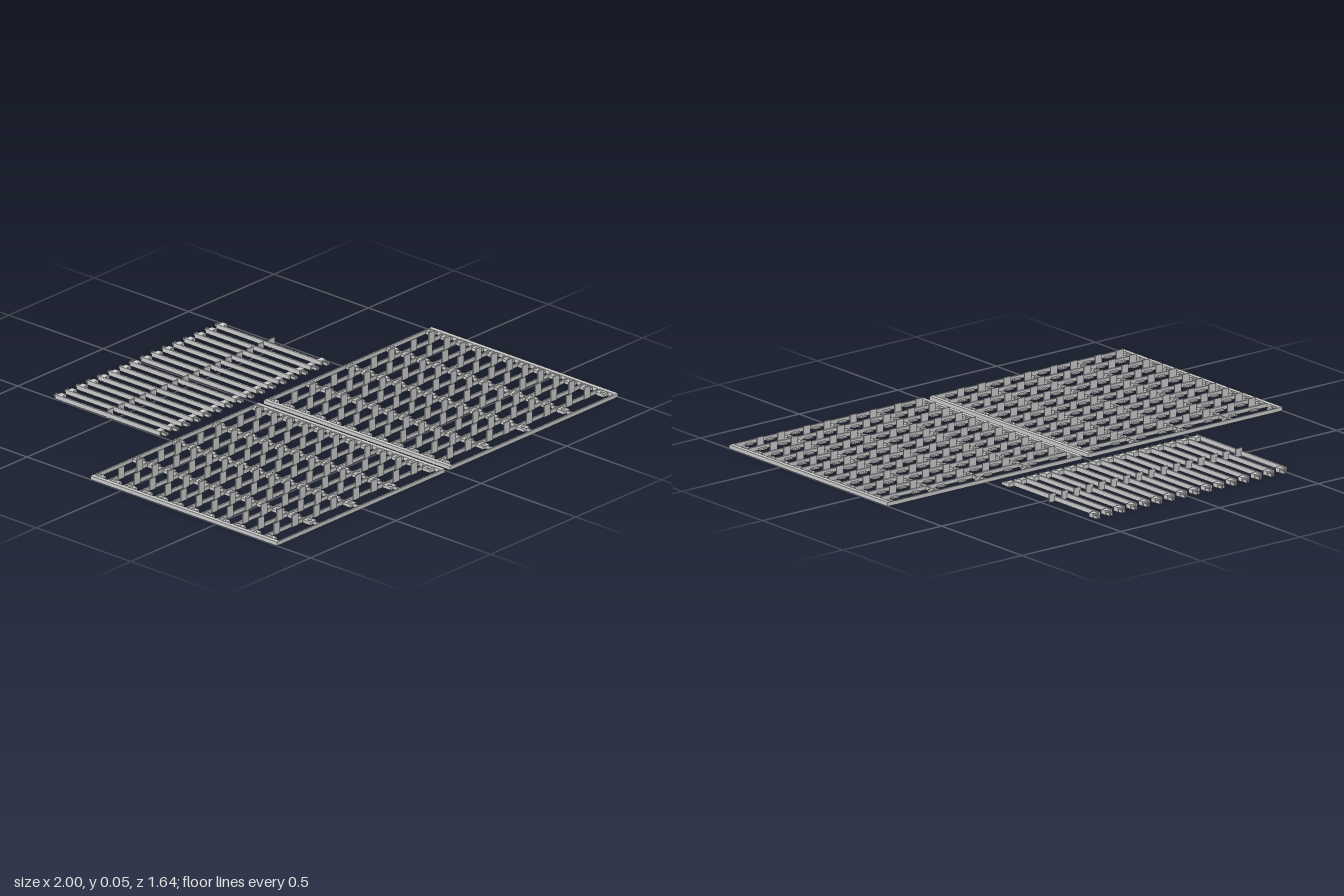
import * as THREE from 'three';

const grey = new THREE.MeshStandardMaterial({ color: 0xcccccc });
grey.name = 'light grey';

// box given by its limits on each axis
function box(parent, name, x0, x1, y0, y1, z0, z1) {
  const mesh = new THREE.Mesh(new THREE.BoxGeometry(x1 - x0, y1 - y0, z1 - z0), grey);
  mesh.position.set((x0 + x1) / 2, (y0 + y1) / 2, (z0 + z1) / 2);
  mesh.name = name;
  parent.add(mesh);
}

const PAD_X = 0.0175, PAD_Z = 0.02; // half sizes of a screw pad

// rectangular pad with a round hole, standing on y = 0
function makePadGeometry() {
  const s = new THREE.Shape();
  s.moveTo(-PAD_X, -PAD_Z);
  s.lineTo(PAD_X, -PAD_Z);
  s.lineTo(PAD_X, PAD_Z);
  s.lineTo(-PAD_X, PAD_Z);
  s.closePath();
  const hole = new THREE.Path();
  hole.absarc(0, 0, 0.009, 0, Math.PI * 2, true);
  s.holes.push(hole);
  const g = new THREE.ExtrudeGeometry(s, { depth: 0.013, bevelEnabled: false, curveSegments: 8 });
  g.rotateX(-Math.PI / 2);
  return g;
}

const WIDTH = 0.985, BACK = -0.165, FRONT = 0.822, ROWS = 12;
const PITCH = (FRONT - BACK) / ROWS, TOP = 0.016, THIN = 0.007, RAIL = 0.018;
const COLUMNS = [0.257, 0.492, 0.727];
const TABS = [0.088, 0.195, 0.32, 0.421, 0.553, 0.657, 0.787, 0.892];

// tray: outer frame, slats with upright tabs, ribs and screw pads
function makeTray(name, padGeometry) {
  const tray = new THREE.Group();
  tray.name = name;
  box(tray, 'sideRail', 0, RAIL, 0, TOP, BACK, FRONT);
  box(tray, 'sideRail', WIDTH - RAIL, WIDTH, 0, TOP, BACK, FRONT);

  for (let i = 0; i <= ROWS; i++) {
    const z = BACK + i * PITCH;
    const z0 = i === 0 ? z : z - THIN;
    box(tray, 'slat', 0, WIDTH, 0, TOP, z0, z0 + THIN);
    if (i === 0) continue;
    for (const x of TABS) {
      box(tray, 'tabFoot', x - 0.0175, x + 0.0175, 0, 0.006, z0 - 0.013, z0);
      if (i < ROWS) box(tray, 'uprightTab', x - 0.0175, x + 0.0175, 0, 0.05, z0 + 0.006, z0 + 0.011);
    }
  }

  // pads in front of each slat, with a rib from each pad to the next slat
  for (let i = 0; i < ROWS; i++) {
    const z = BACK + i * PITCH + 0.0235;
    for (const x of [0.027, ...COLUMNS, WIDTH - 0.027]) {
      const pad = new THREE.Mesh(padGeometry, grey);
      pad.name = 'screwPad';
      pad.position.set(x, 0, z);
      tray.add(pad);
    }
    for (const x of COLUMNS) {
      box(tray, 'rib', x - 0.003, x + 0.003, 0, 0.014, z + PAD_Z, BACK + (i + 1) * PITCH - THIN);
    }
  }
  return tray;
}

// loose divider strip with a forked clip at both ends and a centre fin
function makeDivider() {
  const d = new THREE.Group();
  d.name = 'divider';
  const mid = -0.525;
  box(d, 'strip', -0.004, 0.004, 0.003, 0.022, mid - 0.278, mid + 0.278);
  box(d, 'centreFin', -0.004, 0.03, 0, 0.035, mid - 0.003, mid + 0.003);
  for (const s of [-1, 1]) {
    const span = (name, x0, x1, y0, y1, a, b) =>
      box(d, name, x0, x1, y0, y1, Math.min(mid + s * a, mid + s * b), Math.max(mid + s * a, mid + s * b));
    span('clipBlock', 0.004, 0.03, 0.002, 0.02, 0.248, 0.274);
    for (const x of [0.011, 0.022]) span('clipProng', x, x + 0.005, 0.002, 0.014, 0.274, 0.297);
  }
  return d;
}

export function createModel() {
  const model = new THREE.Group();
  model.name = 'traysAndDividers';
  const padGeometry = makePadGeometry();

  // two equal trays side by side
  const right = makeTray('rightTray', padGeometry);
  right.position.x = -1;
  const left = makeTray('leftTray', padGeometry);
  left.position.x = 1 - WIDTH;
  model.add(right, left);

  // row of dividers behind the trays
  for (let i = 0; i < 16; i++) {
    const d = makeDivider();
    d.position.x = -0.498 + i * 0.063;
    model.add(d);
  }
  return model;
}
